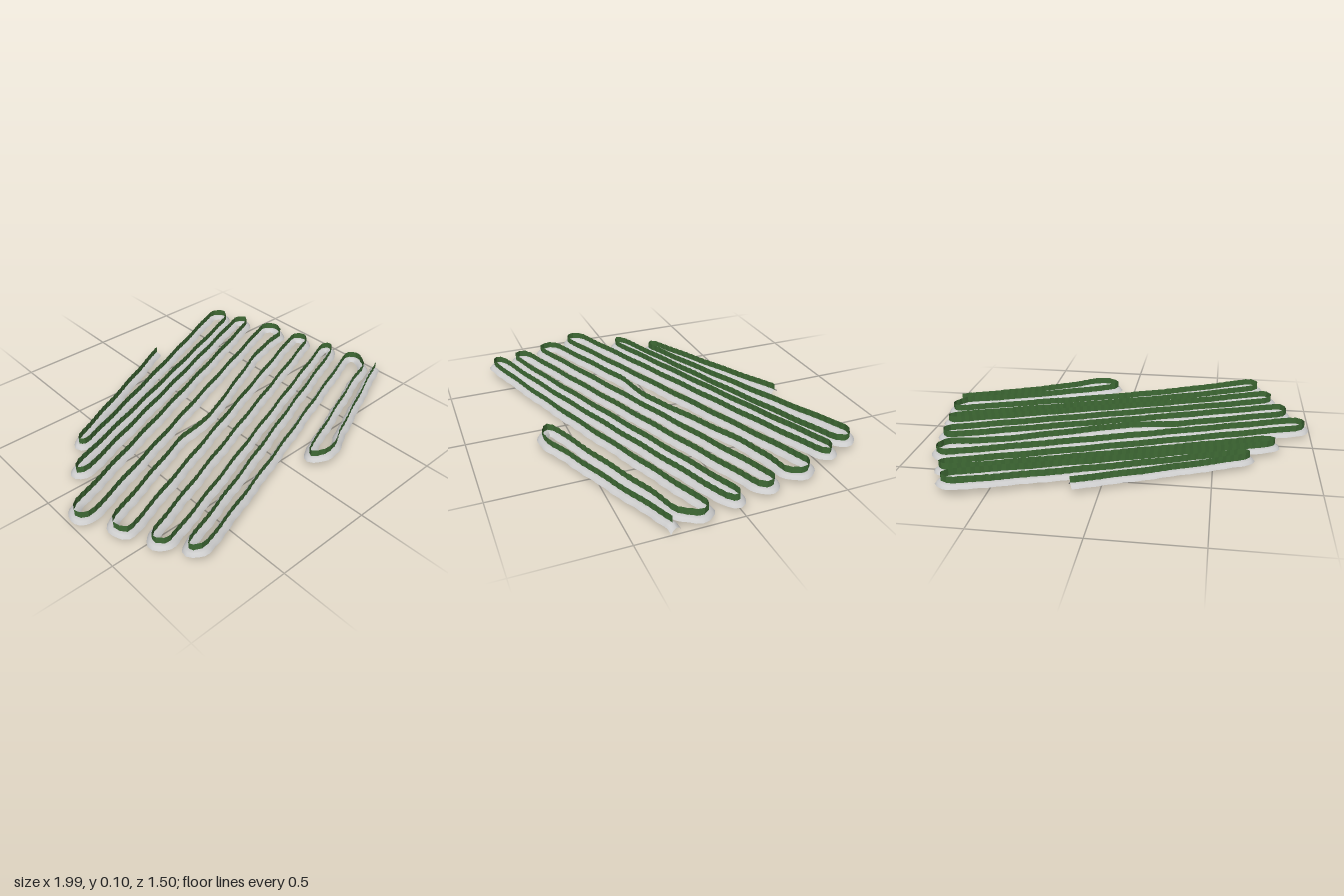
import * as THREE from 'three';

// Ground plan of the winding row as [x, z] corner pairs, from back to front
const PLAN = [
  0.13, -0.63, -0.65, -0.26, -0.685, -0.225, -0.65, -0.2,
  0.66, -0.735, 0.725, -0.69, 0.69, -0.635,
  -0.78, -0.09, -0.82, -0.05, -0.77, -0.025,
  0.73, -0.59, 0.785, -0.55, 0.75, -0.515,
  -0.945, 0.135, -0.98, 0.19, -0.94, 0.235, -0.895, 0.225,
  0.81, -0.425, 0.865, -0.37, 0.83, -0.285, 0.7, -0.27,
  0.54, -0.22, -0.05, 0.045, -0.29, 0.09,
  -0.865, 0.315, -0.895, 0.36, -0.86, 0.425,
  0.86, -0.22, 0.905, -0.17, 0.88, -0.125,
  -0.78, 0.495, -0.82, 0.535, -0.78, 0.595,
  0.905, -0.025, 0.945, 0.005, 0.915, 0.045,
  -0.72, 0.655, -0.75, 0.69, -0.7, 0.73,
  0.94, 0.135, 0.98, 0.19, 0.915, 0.28, 0.78, 0.32,
  0.1, 0.585, 0.08, 0.62, 0.155, 0.655, 0.245, 0.64, 0.35, 0.58,
  0.985, 0.31,
];
const SAMPLES = 1150;

// Gently dished terrain, higher towards the front and back
function groundHeight(z) {
  return 0.037 + 0.3 * Math.max(0, z - 0.4) ** 2 + 0.1 * Math.max(0, -z - 0.3) ** 2;
}

// Evenly spaced centre line with softened corners
function centreLine() {
  const path = new THREE.CurvePath();
  for (let i = 0; i + 3 < PLAN.length; i += 2) {
    path.add(new THREE.LineCurve3(
      new THREE.Vector3(PLAN[i], 0, PLAN[i + 1]),
      new THREE.Vector3(PLAN[i + 2], 0, PLAN[i + 3])));
  }
  let pts = path.getSpacedPoints(SAMPLES);
  for (let pass = 0; pass < 2; pass++) {
    pts = pts.map((p, i) => (i === 0 || i === pts.length - 1) ? p
      : p.clone().multiplyScalar(2).add(pts[i - 1]).add(pts[i + 1]).multiplyScalar(0.25));
  }
  pts.forEach((p) => { p.y = groundHeight(p.z); });
  pts[pts.length - 1].y = 0.02; // the front end runs down to the ground
  return pts;
}

// Sweep an open [across, up] section along the line
function sweep(line, sectionAt) {
  const positions = [], indices = [];
  const count = sectionAt(0).length;
  line.forEach((p, i) => {
    const dir = line[Math.min(i + 1, line.length - 1)].clone().sub(line[Math.max(i - 1, 0)]);
    dir.y = 0;
    dir.normalize();
    for (const [across, up] of sectionAt(i)) {
      positions.push(p.x - dir.z * across, p.y + up, p.z + dir.x * across);
    }
    if (i === 0) return;
    for (let k = 0; k < count - 1; k++) {
      const a = (i - 1) * count + k, b = a + count;
      indices.push(a, a + 1, b, b, a + 1, b + 1);
    }
  });
  const geometry = new THREE.BufferGeometry();
  geometry.setAttribute('position', new THREE.Float32BufferAttribute(positions, 3));
  geometry.setIndex(indices);
  geometry.computeVertexNormals();
  return geometry;
}

export function createModel() {
  const group = new THREE.Group();
  group.name = 'windingHedge';
  const line = centreLine();

  // Rounded soil ridge with slightly wavy edges
  const ridge = new THREE.Mesh(
    sweep(line, (i) => {
      const w = 0.027 + 0.002 * Math.sin(i * 1.4);
      const s = 0.002 * Math.sin(i * 0.45);
      return [[-w + s, -0.02], [-0.6 * w + s, -0.006], [s, 0],
        [0.6 * w + s, -0.006], [w + s, -0.02]].reverse();
    }),
    new THREE.MeshStandardMaterial({ color: 0xcccccc, side: THREE.DoubleSide }));
  ridge.name = 'soilRidge';

  // Thin upright foliage strip standing along the crest
  const foliage = new THREE.Mesh(
    sweep(line.slice(0, -1), (i) => {
      const s = 0.002 * Math.sin(i * 0.45) + (i % 2 ? 0.0015 : -0.0015);
      return [[s, -0.003], [s, 0.033 + (i % 2 ? 0.001 : 0)]];
    }),
    new THREE.MeshStandardMaterial({ color: 0x3f6b35, side: THREE.DoubleSide, flatShading: true }));
  foliage.name = 'foliageStrip';

  group.add(ridge, foliage);
  return group;
}
